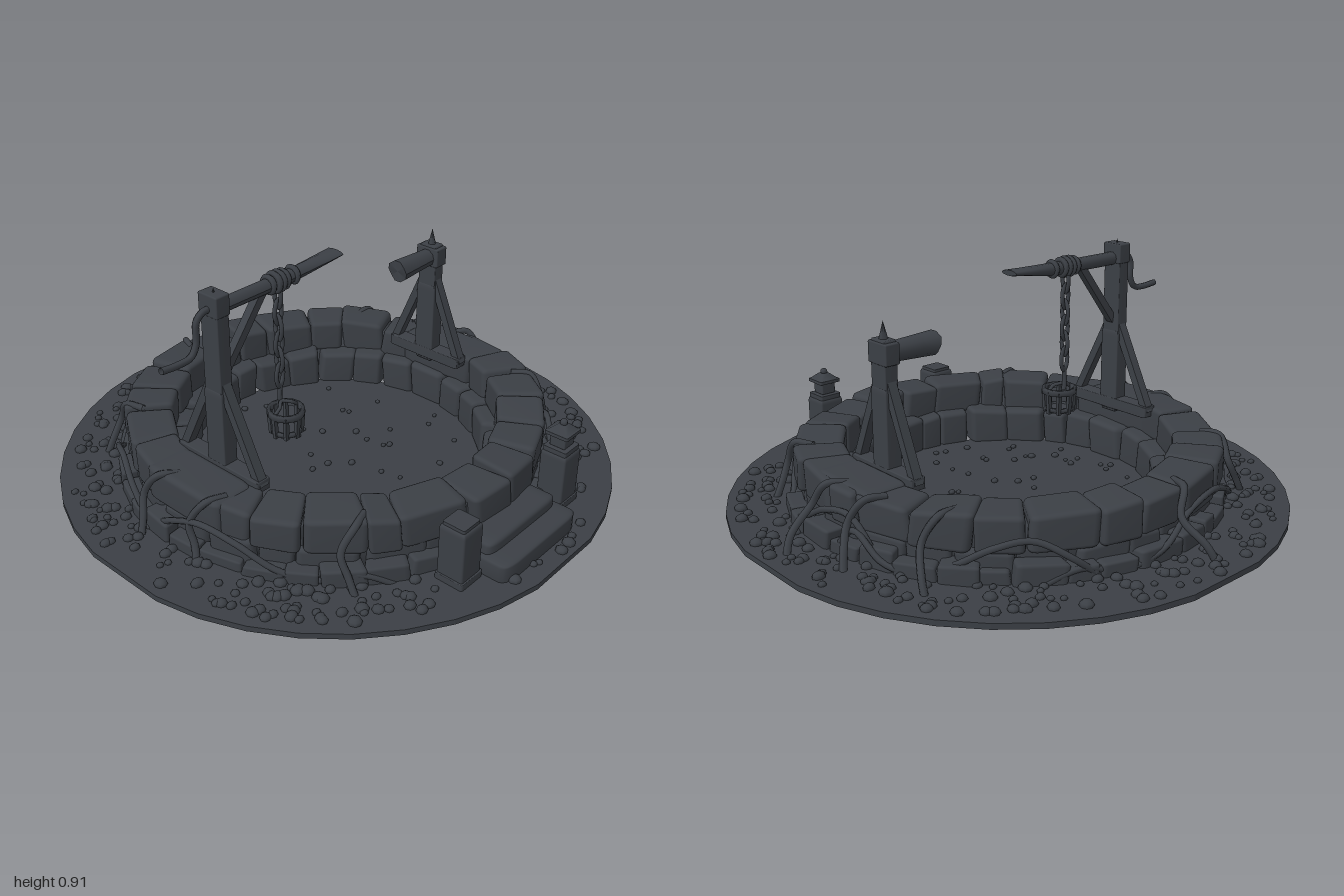
import * as THREE from 'three';
import { mergeVertices, mergeGeometries } from 'three/addons/utils/BufferGeometryUtils.js';
import { RoundedBoxGeometry } from 'three/addons/geometries/RoundedBoxGeometry.js';

const slate = new THREE.MeshStandardMaterial({ color: 0x3b3f45, side: THREE.DoubleSide });
slate.name = 'darkSlate';

let seed = 7;
const rand = (a = 0, b = 1) => {
  seed = (seed * 16807) % 2147483647;
  return a + (b - a) * (seed / 2147483647);
};
const V = (x, y, z) => new THREE.Vector3(x, y, z);

// Smooth rounded block, unit sized, with one indexed vertex per corner position
function roundBlock(round) {
  const g = new RoundedBoxGeometry(1, 1, 1, 2, round);
  g.deleteAttribute('normal');
  g.deleteAttribute('uv');
  return mergeVertices(g, 1e-4);
}

// Block bent around the well: x follows the angle, z the radius
function wedgeStone(a0, a1, r0, r1, y0, y1) {
  const g = roundBlock(0.13), p = g.attributes.position;
  const skew = rand(-0.2, 0.2), lean = rand(-0.12, 0.12), tilt = rand(-0.12, 0.12);
  for (let i = 0; i < p.count; i++) {
    const x = p.getX(i), y = p.getY(i), z = p.getZ(i);
    const a = a0 + (a1 - a0) * (0.5 + x + skew * z * 0.6 + lean * y);
    const r = r0 + (r1 - r0) * (0.5 + z);
    p.setXYZ(i, Math.sin(a) * r, y0 + (y1 - y0) * (0.5 + y + tilt * x * (y > 0 ? 1 : 0)), Math.cos(a) * r);
  }
  g.computeVertexNormals();
  return g;
}

// One ring of stones of uneven width
function course(n, r0, r1, y0, y1, jr, jy) {
  const cuts = Array.from({ length: n }, (_, i) => (i + rand(-0.22, 0.22)) / n * Math.PI * 2);
  return mergeGeometries(cuts.map((a, i) => {
    const b = i + 1 < n ? cuts[i + 1] : cuts[0] + Math.PI * 2;
    return wedgeStone(a + 0.002, b - 0.002, r0 + rand(-jr, jr), r1 + rand(-jr, jr), y0, y1 + rand(-jy, jy));
  }));
}

// Scattered pebbles as slightly squashed balls
function pebbles(n, r0, r1, y, s0, s1, keep = () => true) {
  const list = [];
  while (list.length < n) {
    const a = rand(0, Math.PI * 2), r = Math.sqrt(rand(r0 * r0, r1 * r1));
    const x = Math.sin(a) * r, z = Math.cos(a) * r, s = rand(s0, s1);
    if (keep(x, z)) list.push(new THREE.SphereGeometry(s, 8, 6).scale(1, 0.75, rand(0.8, 1.1)).translate(x, y, z));
  }
  return mergeGeometries(list);
}

export function createModel() {
  const root = new THREE.Group();
  root.name = 'ruinedWell';
  const add = (name, geo, parent = root) => {
    const m = new THREE.Mesh(geo, slate);
    m.name = name;
    parent.add(m);
    return m;
  };
  const box = (name, w, h, d, x, y, z, parent, round = 0.08) => {
    const g = roundBlock(round).scale(w, h, d);
    g.computeVertexNormals();
    const m = add(name, g, parent);
    m.position.set(x, y, z);
    return m;
  };
  const tube = (name, pts, r, parent, seg = 30) =>
    add(name, new THREE.TubeGeometry(new THREE.CatmullRomCurve3(pts.map(p => V(...p))), seg, r, 7), parent);
  const beam = (name, a, b, w, d, parent) => {
    const A = V(...a), B = V(...b);
    const m = add(name, new THREE.BoxGeometry(w, A.distanceTo(B), d), parent);
    m.position.copy(A).add(B).multiplyScalar(0.5);
    m.quaternion.setFromUnitVectors(V(0, 1, 0), B.sub(A).normalize());
    return m;
  };

  // Ground ring, trimmed square at its four extremes
  const ground = new THREE.LatheGeometry([[0.67, 0.045], [1.015, 0.045], [1.015, 0.065], [0.67, 0.065], [0.67, 0.045]]
    .map(p => new THREE.Vector2(...p)), 40).toNonIndexed();
  const gp = ground.attributes.position;
  for (let i = 0; i < gp.count; i++) {
    gp.setX(i, THREE.MathUtils.clamp(gp.getX(i), -1, 1));
    gp.setZ(i, THREE.MathUtils.clamp(gp.getZ(i), -1, 1));
  }
  ground.computeVertexNormals();
  add('groundRing', ground);
  add('wellFloor', new THREE.CylinderGeometry(0.56, 0.56, 0.015, 48)).position.y = 0.03;

  // Wall courses around a hidden core
  add('wallCore', new THREE.LatheGeometry([[0.6, 0.05], [0.735, 0.05], [0.735, 0.24], [0.63, 0.24], [0.6, 0.05]]
    .map(p => new THREE.Vector2(...p)), 48));
  add('lowerStones', course(26, 0.535, 0.755, 0.025, 0.165, 0.012, 0.006));
  add('topStones', course(25, 0.595, 0.765, 0.15, 0.275, 0.012, 0.008));
  add('footStones', course(36, 0.73, 0.8, 0.045, 0.12, 0.012, 0.02));
  const clearOfStep = (x, z) => !(z > 0.65 && z < 0.93 && x > -0.37 && x < 0.34);
  add('groundPebbles', pebbles(280, 0.8, 0.97, 0.068, 0.012, 0.024, clearOfStep));
  add('floorPebbles', pebbles(50, 0.05, 0.49, 0.042, 0.008, 0.015));

  // Front steps and gate posts
  const steps = new THREE.Group();
  steps.name = 'steps';
  root.add(steps);
  box('lowerStep', 0.42, 0.08, 0.2, -0.025, 0.09, 0.83, steps, 0.15);
  box('upperStep', 0.38, 0.11, 0.14, -0.025, 0.115, 0.785, steps, 0.15);
  for (const x of [-0.295, 0.27]) {
    box('gatePost', 0.1, 0.225, 0.1, x, 0.16, 0.79, steps);
    box('gatePostFoot', 0.11, 0.04, 0.11, x, 0.07, 0.79, steps);
  }

  // Lantern-like cap on one gate post
  const cap = new THREE.Group();
  cap.name = 'postCap';
  cap.position.set(0.27, 0, 0.79);
  root.add(cap);
  box('capBase', 0.09, 0.02, 0.09, 0, 0.28, 0, cap);
  box('capBody', 0.06, 0.05, 0.06, 0, 0.315, 0, cap);
  box('capPlate', 0.09, 0.014, 0.09, 0, 0.342, 0, cap);
  const roof = add('capRoof', new THREE.CylinderGeometry(0.02, 0.055, 0.022, 4), cap);
  roof.rotation.y = Math.PI / 4;
  roof.position.y = 0.36;
  add('capKnob', new THREE.SphereGeometry(0.014, 8, 6), cap).position.y = 0.376;
  box('brokenPostTop', 0.085, 0.02, 0.085, -0.295, 0.275, 0.79, steps);

  // Wooden posts with side braces
  for (const [x, top, name] of [[-0.56, 0.89, 'tallPost'], [0.54, 0.72, 'brokenPost']]) {
    const g = new THREE.Group();
    g.name = name;
    root.add(g);
    const spread = x < 0 ? 0.185 : 0.16;
    box('upright', 0.052, top - 0.23, 0.078, x, (top + 0.23) / 2, 0, g);
    box('uprightFoot', 0.058, 0.32, 0.084, x, 0.4, 0, g);
    for (const s of [-1, 1])
      beam('sideBrace', [x, 0.6, s * 0.015], [x, 0.26, s * spread], 0.035, 0.03, g);
    box('footBeam', 0.06, 0.045, spread * 2.1, x, 0.265, 0, g);
    const spike = add('topSpike', new THREE.ConeGeometry(0.018, 0.07, 6), g);
    spike.position.set(x, top + (x < 0 ? -0.012 : 0.025), 0);
    box('seatStone', 0.17, 0.13, spread * 1.9, x + Math.sign(x) * 0.11, 0.215, 0, g, 0.15);
  }
  box('postHead', 0.058, 0.075, 0.086, -0.56, 0.86, 0);

  // Windlass: axle snapped to a splintered end, rope coils, crank and brace
  const windlass = new THREE.Group();
  windlass.name = 'windlass';
  root.add(windlass);
  const axle = new THREE.CylinderGeometry(0.025, 0.025, 0.58, 10, 10);
  axle.rotateZ(-Math.PI / 2).translate(-0.295, 0.84, 0);
  const ap = axle.attributes.position;
  for (let i = 0; i < ap.count; i++) {
    const t = Math.max(0, (ap.getX(i) + 0.22) / 0.22), y = ap.getY(i) - 0.84;
    ap.setY(i, 0.84 + y * (1 - 0.6 * t) + 0.017 * t);
    ap.setZ(i, ap.getZ(i) * (1 + 0.55 * t));
  }
  axle.computeVertexNormals();
  add('axle', axle, windlass);
  for (const [x, r] of [[-0.325, 0.026], [-0.3, 0.03], [-0.28, 0.03], [-0.26, 0.028], [-0.215, 0.025]]) {
    const coil = add('ropeCoil', new THREE.TorusGeometry(r, 0.011, 6, 16), windlass);
    coil.rotation.y = Math.PI / 2;
    coil.position.set(x, 0.842, 0);
  }
  beam('cornerBrace', [-0.54, 0.6, 0], [-0.36, 0.83, 0], 0.028, 0.03, windlass);
  tube('crank', [[-0.55, 0.845, 0], [-0.61, 0.845, 0], [-0.637, 0.82, 0], [-0.642, 0.75, 0],
    [-0.665, 0.712, 0], [-0.72, 0.705, 0], [-0.785, 0.71, 0]], 0.012, windlass);

  // Broken stub of the axle on the other post, flaring and jagged at its end
  const stub = new THREE.CylinderGeometry(0.043, 0.032, 0.23, 10, 3);
  stub.rotateZ(Math.PI / 2).translate(0.445, 0.67, 0);
  const sp = stub.attributes.position;
  for (let i = 0; i < sp.count; i++)
    if (sp.getX(i) < 0.34) sp.setX(i, 0.337 + 0.012 * Math.sin(sp.getY(i) * 150));
  stub.computeVertexNormals();
  add('brokenAxle', stub);
  box('brokenPostHead', 0.058, 0.075, 0.1, 0.54, 0.675, 0);

  // Chain of alternating oval links
  const chain = new THREE.Group();
  chain.name = 'chain';
  root.add(chain);
  for (let i = 0; i < 6; i++) {
    const link = add('chainLink', new THREE.TorusGeometry(0.024, 0.0075, 6, 16).scale(1, 2, 1), chain);
    link.position.set(-0.285, 0.79 - i * 0.06, 0);
    link.rotation.y = i % 2 ? 0.3 : 1.25;
    link.scale.y = 0.85;
  }
  tube('hook', [[-0.285, 0.45, 0], [-0.288, 0.41, 0], [-0.285, 0.37, 0]], 0.009, chain, 8);

  // Slatted bucket
  const bucket = new THREE.Group();
  bucket.name = 'bucket';
  bucket.position.set(-0.29, 0, 0.03);
  root.add(bucket);
  const rim = (name, r, y, h) => add(name, new THREE.LatheGeometry(
    [[r - 0.012, -h], [r, -h], [r, h], [r - 0.012, h], [r - 0.012, -h]].map(p => new THREE.Vector2(...p)), 16), bucket).position.y = y;
  rim('bucketRim', 0.066, 0.362, 0.011);
  rim('bucketHoop', 0.055, 0.29, 0.007);
  for (let i = 0; i < 8; i++) {
    const a = i * Math.PI / 4;
    beam('slat', [Math.sin(a) * 0.05, 0.275, Math.cos(a) * 0.05], [Math.sin(a) * 0.057, 0.365, Math.cos(a) * 0.057], 0.016, 0.014, bucket);
  }
  add('bucketBottom', new THREE.CylinderGeometry(0.05, 0.05, 0.012, 16), bucket).position.y = 0.285;
  tube('bucketHandle', [[-0.056, 0.365, 0], [-0.03, 0.385, 0], [0, 0.392, -0.02], [0.03, 0.385, 0], [0.056, 0.365, 0]], 0.007, bucket);

  // Roots: polar points [angle, radius, height] with the angle measured from the front
  const vine = (pts, r) => tube('vine', pts.map(([a, d, y]) => [Math.sin(a) * d, y, Math.cos(a) * d]), r, root, 48);
  for (const [start, len] of [[0.5, 1.4], [1.6, 1.2], [2.5, 1.5], [3.7, 1.1], [4.4, 1.3]]) {
    const pts = [];
    for (let i = 0; i <= 8; i++)
      pts.push([start + len * i / 8, 0.785 + rand(-0.01, 0.02), i % 8 ? 0.14 + 0.07 * Math.sin(i * 1.1 + start) : 0.05]);
    vine(pts, 0.011);
  }
  for (const [a, d] of [[1.5, 0.93], [1.75, 0.88], [2.1, 0.9], [3.2, 0.92], [3.9, 0.87], [4.55, 0.86], [4.85, 0.84], [5.5, 0.86], [0.95, 0.86]])
    vine([[a + 0.08, 0.7, 0.27], [a + 0.03, 0.765, 0.27], [a - 0.03, 0.795, 0.19], [a, d - 0.04, 0.11], [a + 0.04, d, 0.012]], 0.013);
  return root;
}
